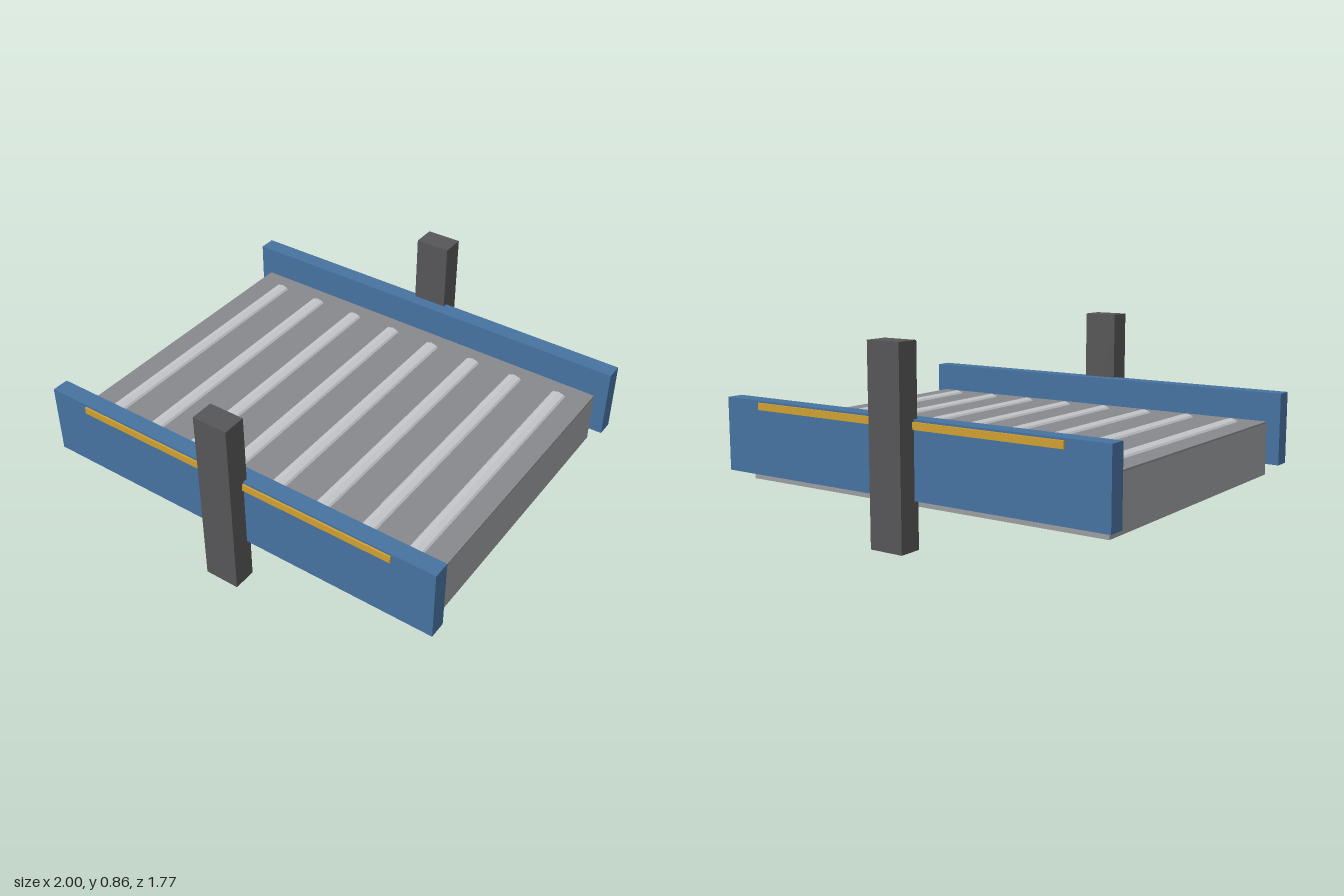
import * as THREE from 'three';

export function createModel() {
  const model = new THREE.Group();
  model.name = 'rollerBed';

  const material = (name, color, flatShading = false) => {
    const m = new THREE.MeshStandardMaterial({ color, flatShading });
    m.name = name;
    return m;
  };
  const blue = material('railBlue', 0x4672a0);
  const bodyGrey = material('bodyGrey', 0x9c9d9f);
  const deckGrey = material('deckGrey', 0x88898c);
  const darkGrey = material('postGrey', 0x565658);
  const steel = material('rollerSteel', 0xc4c7ca, true);
  const yellow = material('stripeYellow', 0xd0a030);

  // Box given by its size, centre x and z, and bottom height
  const box = (name, mat, w, h, d, x, bottom, z) => {
    const mesh = new THREE.Mesh(new THREE.BoxGeometry(w, h, d), mat);
    mesh.name = name;
    mesh.position.set(x, bottom + h / 2, z);
    model.add(mesh);
  };

  // Bed body with its thin deck plate
  box('bedBody', bodyGrey, 1.88, 0.242, 1.42, 0, 0.16, 0);
  box('bedDeck', deckGrey, 1.88, 0.008, 1.42, 0, 0.402, 0);

  // Rollers sunk into the deck
  const rollerGeometry = new THREE.CylinderGeometry(0.053, 0.053, 1.25, 12).rotateX(Math.PI / 2);
  for (let i = 0; i < 8; i++) {
    const roller = new THREE.Mesh(rollerGeometry, steel);
    roller.name = 'roller' + (i + 1);
    roller.position.set(-0.8 + (i * 1.6) / 7, 0.372, 0);
    model.add(roller);
  }

  // Rail, stripe and post on the front and back
  for (const [side, s] of [['front', 1], ['back', -1]]) {
    box(side + 'Rail', blue, 2, 0.335, 0.08, 0, 0.208, s * 0.76);
    box(side + 'Stripe', yellow, 1.6, 0.032, 0.009, 0, 0.502, s * 0.8045);
    box(side + 'Post', darkGrey, 0.165, 0.86, 0.108, 0, 0, s * 0.831);
  }
  return model;
}
